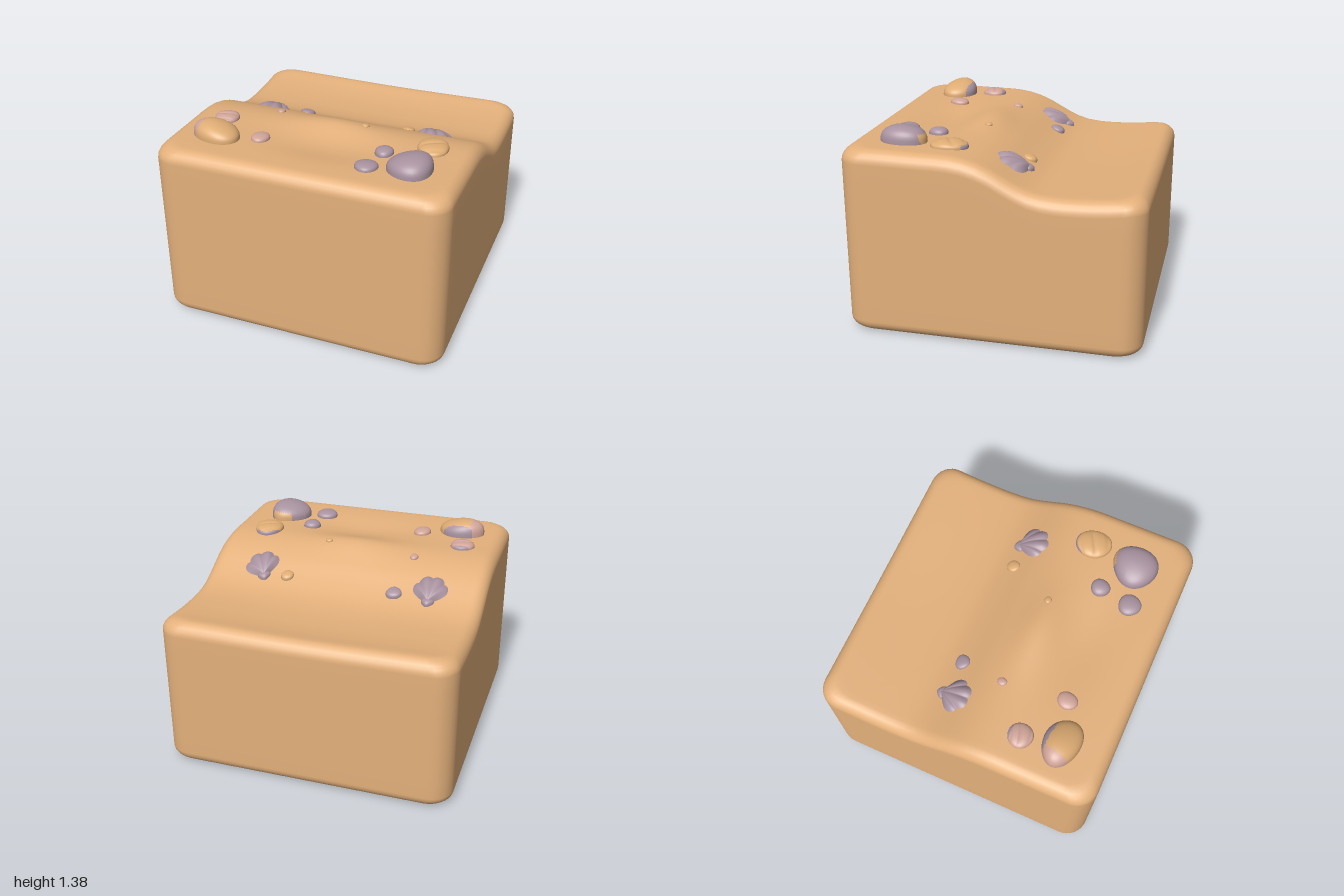
import * as THREE from 'three';

const mat = (name, color, side = THREE.FrontSide) => {
  const m = new THREE.MeshStandardMaterial({ color, side });
  m.name = name;
  return m;
};

// Dune profile: height along z, plus a crest, a hollow in front of it and a soft valley
const profileZ = [-1, -0.92, -0.8, -0.6, -0.4, -0.27, -0.15, 0, 0.12, 0.25, 0.45, 0.9, 1];
const profileY = [1.07, 1.075, 1.06, 1.045, 1.045, 1.065, 1.115, 1.195, 1.24, 1.263, 1.268, 1.275, 1.275];
const profile = new THREE.CubicInterpolant(new Float32Array(profileZ), new Float32Array(profileY), 1);
const bell = (t, w) => Math.exp(-(t * t) / (w * w));
function surf(x, z) {
  const y = profile.evaluate(THREE.MathUtils.clamp(z, -1, 1))[0];
  return y + 0.035 * bell(x, 0.3) * bell(z - 0.22, 0.13)
    - 0.03 * bell(x - 0.05, 0.4) * bell(z - 0.54, 0.18)
    - 0.02 * bell(x, 0.65) * bell(z + 0.7, 0.35);
}

// Rounded square outline as [x, z] points
function outline(half, r, side = 20, corner = 8) {
  const pts = [], c = half - r;
  for (let q = 0; q < 4; q++) {
    const a0 = q * Math.PI / 2, cs = Math.cos(a0), sn = Math.sin(a0);
    const add = (x, z) => pts.push([x * cs - z * sn, x * sn + z * cs]);
    for (let i = 0; i < side; i++) add(half, -c + (2 * c * i) / side);
    for (let i = 0; i < corner; i++) {
      const a = (i / corner) * Math.PI / 2;
      add(c + r * Math.cos(a), c + r * Math.sin(a));
    }
  }
  return pts;
}

// Skin over rings of { half, r, y(x, z) }
function skin(rings) {
  const pos = [], idx = [];
  let n = 0;
  for (const ring of rings) {
    const pts = outline(ring.half, ring.r);
    n = pts.length;
    for (const [x, z] of pts) pos.push(x, ring.y(x, z), z);
  }
  for (let i = 0; i < rings.length - 1; i++) {
    for (let j = 0; j < n; j++) {
      const a = i * n + j, b = i * n + (j + 1) % n;
      idx.push(a, a + n, b, b, a + n, b + n);
    }
  }
  const g = new THREE.BufferGeometry();
  g.setAttribute('position', new THREE.Float32BufferAttribute(pos, 3));
  g.setIndex(idx);
  g.computeVertexNormals();
  return g;
}

function outerShell() {
  const rings = [{ half: 0.845, r: 0.04, y: () => 0 }];
  const R = 0.08, T = 0.09, C = 0.15, steps = 6;
  for (let i = 0; i <= steps; i++) { // bottom rounding
    const a = (i / steps) * Math.PI / 2;
    rings.push({ half: 1 - R + R * Math.sin(a), r: C, y: () => R * (1 - Math.cos(a)) });
  }
  for (let i = 1; i < 8; i++) { // walls
    rings.push({ half: 1, r: C, y: (x, z) => R + (surf(x, z) - T - R) * i / 8 });
  }
  for (let i = 0; i <= steps; i++) { // top rounding
    const a = (i / steps) * Math.PI / 2;
    rings.push({ half: 1 - T + T * Math.cos(a), r: C, y: (x, z) => surf(x, z) - T * (1 - Math.sin(a)) });
  }
  for (let i = 1; i <= 26; i++) { // dune surface
    const half = 0.91 * (1 - i / 26);
    rings.push({ half, r: 0.16 * half, y: surf });
  }
  return skin(rings);
}

// Round stem with a cross-shaped socket
function stemGeometry(bottom, top) {
  const shape = new THREE.Shape().absarc(0, 0, 0.32, 0, Math.PI * 2);
  const L = 0.225, w = 0.07, pts = [];
  for (let q = 0; q < 4; q++) {
    for (const [x, y] of [[L, -w], [L, w], [w, w]]) {
      pts.push(new THREE.Vector2(x, y).rotateAround(new THREE.Vector2(), q * Math.PI / 2));
    }
  }
  shape.holes.push(new THREE.Path(pts.reverse()));
  const g = new THREE.ExtrudeGeometry(shape, { depth: top - bottom, bevelEnabled: false, curveSegments: 32 });
  return g.rotateX(-Math.PI / 2).translate(0, bottom, 0);
}

// Flattened stone resting on the dune; "patch" gives the colour slot of a face,
// "tilt" lowers the +x and +z sides of its top
function pebble({ x, z, rx, rz, h, rot = 0, taper = 0, tilt = [0, 0], grooves = 0, patch = () => 0 }) {
  const g = new THREE.SphereGeometry(1, 40, 24), p = g.attributes.position, v = new THREE.Vector3();
  const slots = [[], [], []], src = g.index.array, c = new THREE.Vector3();
  for (let i = 0; i < src.length; i += 3) {
    c.set(0, 0, 0);
    for (let k = 0; k < 3; k++) c.add(v.fromBufferAttribute(p, src[i + k]));
    slots[patch(c.divideScalar(3))].push(src[i], src[i + 1], src[i + 2]);
  }
  g.setIndex(slots.flat());
  let start = 0;
  slots.forEach((s, i) => {
    if (s.length) g.addGroup(start, s.length, i);
    start += s.length;
  });
  const base = surf(x, z), cs = Math.cos(rot), sn = Math.sin(rot);
  for (let i = 0; i < p.count; i++) {
    v.fromBufferAttribute(p, i);
    const cut = grooves ? 1 - 0.16 * Math.pow(Math.abs(Math.cos(v.z * grooves + v.x)), 10) : 1;
    const lx = v.x * rx * (1 + taper * v.z), lz = v.z * rz * (1 + 0.08 * v.x);
    const px = x + lx * cs + lz * sn, pz = z - lx * sn + lz * cs;
    const top = h * cut * (1 - tilt[0] * v.x - tilt[1] * v.z);
    const y = Math.sign(v.y) * Math.pow(Math.abs(v.y), 0.7) * (v.y > 0 ? top : 0.04);
    p.setXYZ(i, px, 0.5 * (base + surf(px, pz)) + y, pz);
  }
  g.computeVertexNormals();
  return g;
}

// Ribbed fan shell draped on the slope, hinge at (x, z)
function fanShell(x, z, rot, size) {
  const nu = 64, nv = 18, g = new THREE.PlaneGeometry(1, 1, nu, nv), p = g.attributes.position;
  for (let i = 0; i < p.count; i++) {
    const u = p.getX(i) * 2, t = 0.5 - p.getY(i);
    const rib = Math.abs(Math.sin((u + 1) * Math.PI * 2));
    const a = u * 1.0 + rot;
    const r = t * size * (1 - 0.36 * u * u) * (0.95 + 0.05 * rib);
    const dome = Math.sin(Math.PI * Math.pow(t, 0.8)) * 0.024 + 0.026 * (1 - t * t);
    const y = (dome + 0.014 * rib * t) * (1 - Math.pow(Math.abs(u), 6)) * (1 - Math.pow(t, 12)) - 0.004;
    const px = x + r * Math.sin(a), pz = z + r * Math.cos(a);
    p.setXYZ(i, px, surf(px, pz) + y, pz);
  }
  g.computeVertexNormals();
  return g;
}

export function createModel() {
  const sand = mat('sand', 0xe3b07b), mauve = mat('mauve', 0xa8929f);
  const pink = mat('dustyPink', 0xd0a498), ochre = mat('ochre', 0xdeac74);
  const shellMat = mat('shellMauve', 0xa8929f, THREE.DoubleSide);
  const model = new THREE.Group();
  const add = (name, geo, material) => {
    const m = new THREE.Mesh(geo, material);
    m.name = name;
    model.add(m);
  };

  // Hollow sand block
  const ceiling = 0.88;
  const inner = (half, y) => ({ half, r: 0.04 * Math.sign(half), y: () => y });
  add('sandBlock', outerShell(), sand);
  add('innerWalls', skin([inner(0.82, ceiling), inner(0.845, 0)]), sand);
  add('innerCeiling', skin([inner(0, ceiling), inner(0.82, ceiling)]), sand);
  add('stem', stemGeometry(0.15, ceiling + 0.02), sand);

  // Stones
  const oMP = [ochre, mauve, pink], mOP = [mauve, ochre, pink], pMO = [pink, mauve, ochre];
  const stones = [
    ['largeOchreStone', oMP, { x: -0.675, z: 0.665, rx: 0.165, rz: 0.122, h: 0.1, rot: -0.15, taper: 0.1, tilt: [0.25, 0], patch: c => (c.z < -0.68 ? 1 : c.x < -0.5 && c.y < 0.85 ? 2 : 0) }],
    ['largeMauveStone', mOP, { x: 0.66, z: 0.635, rx: 0.145, rz: 0.158, h: 0.105, rot: -0.3, taper: 0.2, tilt: [-0.15, 0], patch: c => (c.z < -0.7 && c.y < 0.45 && c.x < 0.4 ? 1 : 0) }],
    ['ribbedOchreStone', oMP, { x: 0.71, z: 0.32, rx: 0.103, rz: 0.125, h: 0.045, rot: 0.2, grooves: 4, patch: c => (c.z < -0.6 && c.y < 0.4 ? 1 : 0) }],
    ['ribbedPinkStone', pMO, { x: -0.735, z: 0.405, rx: 0.085, rz: 0.085, h: 0.042, grooves: 4, patch: c => (c.z < -0.75 ? 1 : 0) }],
    ['smallPinkStone', pMO, { x: -0.397, z: 0.59, rx: 0.06, rz: 0.07, h: 0.035, rot: -0.2 }],
    ['frontMauveStone', mOP, { x: 0.388, z: 0.713, rx: 0.077, rz: 0.077, h: 0.04, taper: -0.1 }],
    ['midMauveStone', mOP, { x: 0.43, z: 0.485, rx: 0.062, rz: 0.066, h: 0.045, taper: -0.1 }],
    ['backMauveStone', mOP, { x: -0.387, z: -0.17, rx: 0.054, rz: 0.05, h: 0.03, taper: -0.15 }],
    ['backOchreStone', oMP, { x: 0.397, z: -0.145, rx: 0.045, rz: 0.045, h: 0.026 }],
    ['pinkPebble', pMO, { x: -0.445, z: 0.147, rx: 0.028, rz: 0.034, h: 0.018 }],
    ['ochrePebble', oMP, { x: 0.198, z: 0.197, rx: 0.026, rz: 0.024, h: 0.014 }],
  ];
  for (const [name, mats, spec] of stones) add(name, pebble(spec), mats);

  // Fan shells with hinge knobs
  for (const [name, x, z, rot] of [['rightShell', -0.63, -0.225, 0.03], ['leftShell', 0.56, -0.185, 0.45]]) {
    add(name, fanShell(x, z, rot, 0.225), shellMat);
    add(name + 'Hinge', pebble({ x, z: z + 0.01, rx: 0.042, rz: 0.034, h: 0.03, rot, taper: 0.4 }), mOP);
  }
  return model;
}
